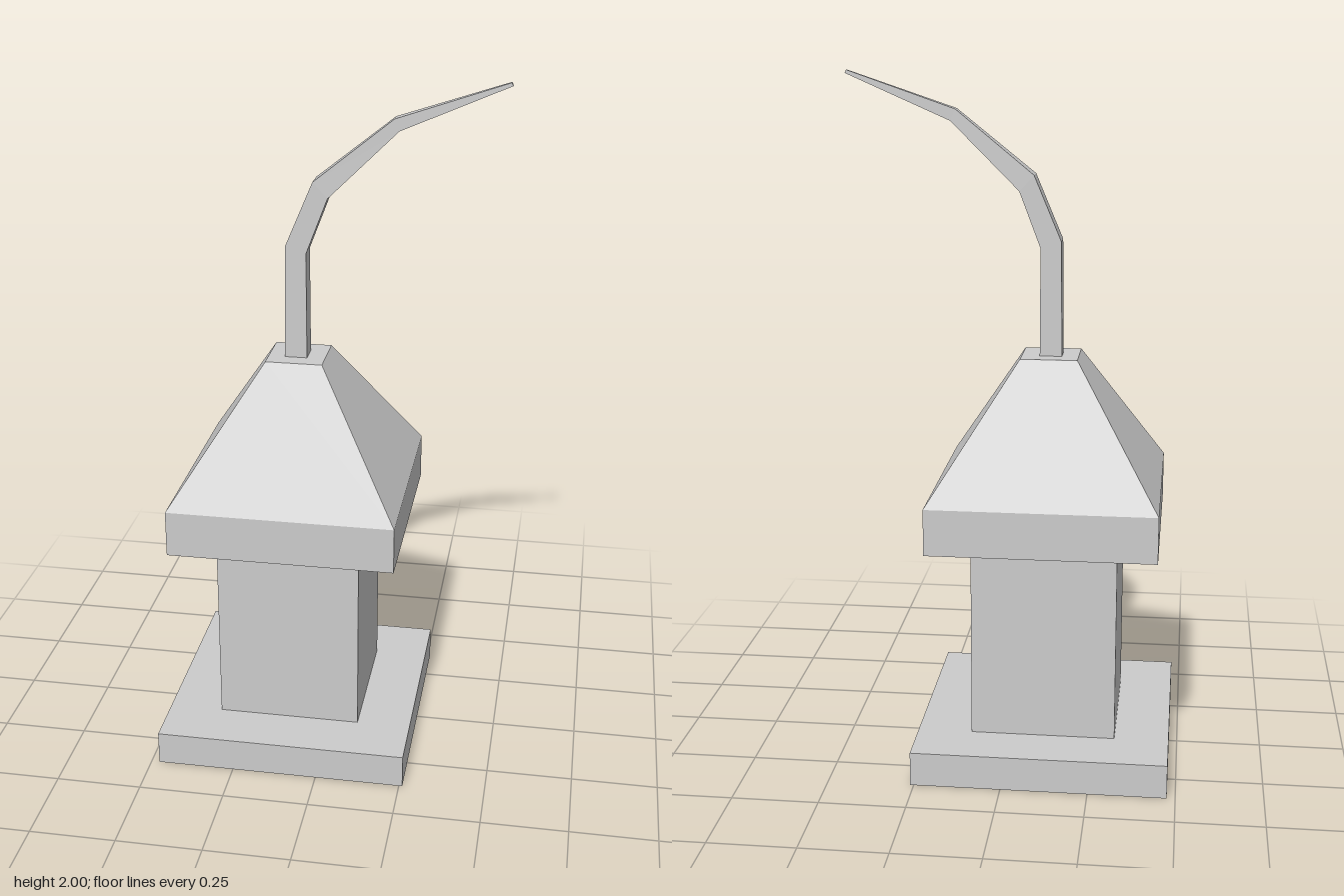
import * as THREE from 'three';

const CX = -0.108; // axis of the tower

export function createModel() {
  const group = new THREE.Group();
  const material = new THREE.MeshStandardMaterial({ color: 0xcccccc, flatShading: true });

  const add = (name, geometry, x = CX) => {
    const mesh = new THREE.Mesh(geometry, material);
    mesh.name = name;
    mesh.position.x = x;
    group.add(mesh);
  };

  // Square block between two heights
  const block = (half, y0, y1) =>
    new THREE.BoxGeometry(half * 2, y1 - y0, half * 2).translate(0, (y0 + y1) / 2, 0);

  add('basePlinth', block(0.368, 0, 0.1));
  add('column', block(0.21, 0.1, 0.81));

  // Roof: square lathe with a recessed underside, upright eaves and a flat top
  const profile = [
    [0, 0.81], [0.267, 0.81], [0.267, 0.685], [0.327, 0.685],
    [0.327, 0.82], [0.082, 1.2], [0, 1.2],
  ].map(([half, y]) => new THREE.Vector2(half * Math.SQRT2, y));
  add('roof', new THREE.LatheGeometry(profile, 4).rotateY(Math.PI / 4).toNonIndexed());

  // Bent spire: outer x, outer y, inner x, inner y, half depth
  const sections = [
    [-0.142, 1.195, -0.078, 1.195, 0.032],
    [-0.138, 1.53, -0.079, 1.51, 0.031],
    [-0.06, 1.715, -0.018, 1.67, 0.03],
    [0.163, 1.895, 0.177, 1.862, 0.018],
    [0.472, 2.0, 0.476, 1.991, 0.006],
  ];
  add('bentSpire', loft(sections), 0);

  return group;
}

// Joins four-cornered sections into a closed tapering bar
function loft(sections) {
  const positions = [];
  const index = [];
  sections.forEach(([ox, oy, ix, iy, d], s) => {
    positions.push(ox, oy, d, ix, iy, d, ix, iy, -d, ox, oy, -d);
    if (s === 0) return;
    for (let j = 0; j < 4; j++) {
      const a = (s - 1) * 4 + j;
      const b = (s - 1) * 4 + ((j + 1) % 4);
      index.push(a, b, b + 4, a, b + 4, a + 4);
    }
  });
  const t = (sections.length - 1) * 4;
  index.push(0, 2, 1, 0, 3, 2, t, t + 1, t + 2, t, t + 2, t + 3);
  const indexed = new THREE.BufferGeometry();
  indexed.setAttribute('position', new THREE.Float32BufferAttribute(positions, 3));
  indexed.setIndex(index);
  const geometry = indexed.toNonIndexed();
  geometry.computeVertexNormals();
  return geometry;
}
